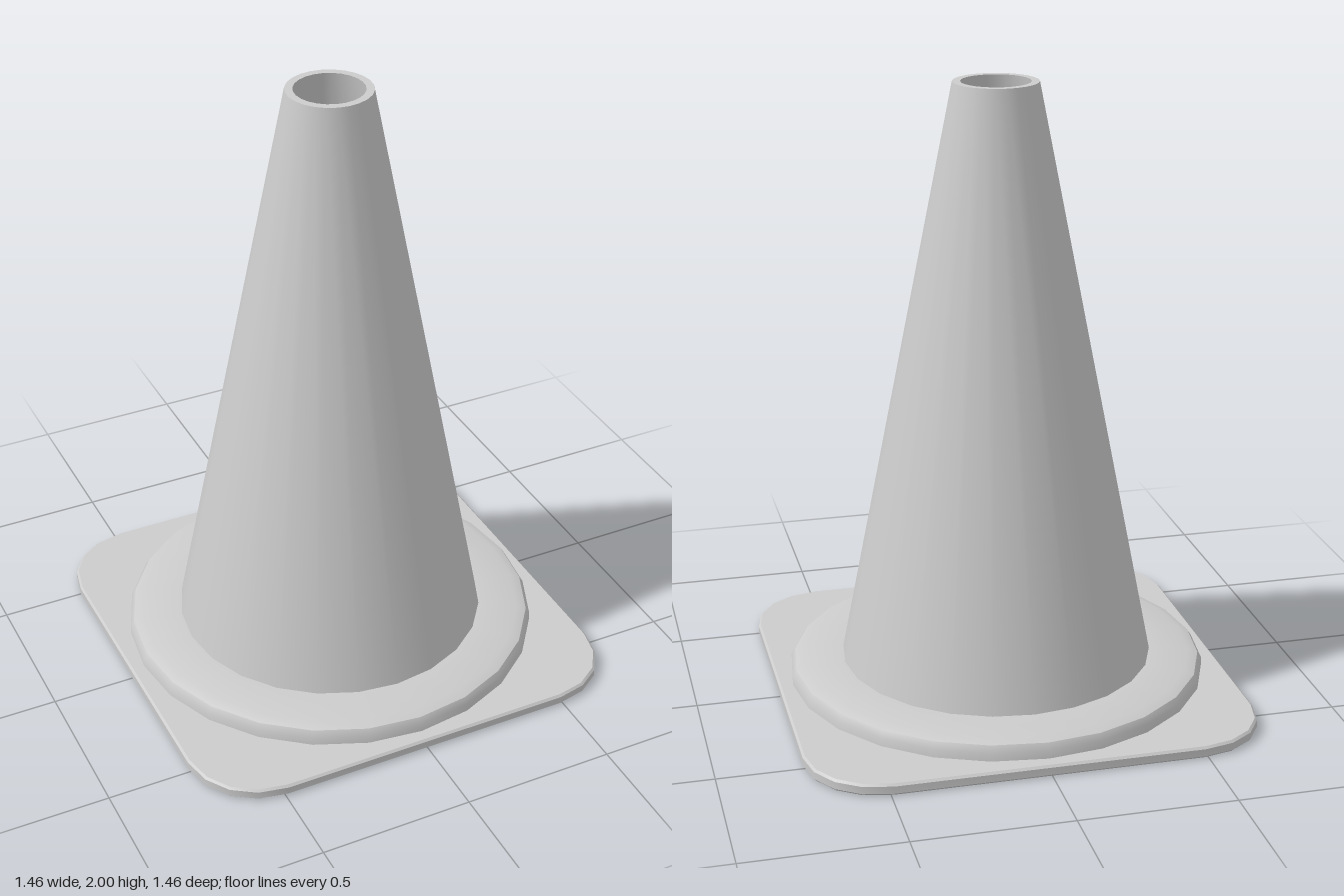
import * as THREE from 'three';
import { toCreasedNormals } from 'three/addons/utils/BufferGeometryUtils.js';

const SIDES = 24;

export function createModel() {
  const group = new THREE.Group();
  group.name = 'trafficCone';
  const material = new THREE.MeshStandardMaterial({ color: 0xcccccc });

  const add = (name, geometry) => {
    const mesh = new THREE.Mesh(toCreasedNormals(geometry, 0.65), material);
    mesh.name = name;
    group.add(mesh);
  };

  // Hollow cone and raised collar: up the outside, down the inside
  const profile = [
    [0.685, 0.01], [0.685, 0.065], [0.672, 0.086], [0.64, 0.098], [0.51, 0.1],
    [0.135, 2], [0.11, 2],
    [0.49, 0.078], [0.63, 0.076], [0.652, 0.062], [0.66, 0.01], [0.685, 0.01],
  ].map(([r, y]) => new THREE.Vector2(r, y));
  add('coneShell', new THREE.LatheGeometry(profile, SIDES));

  // Square foot with faceted round corners and a round opening under the collar
  const corner = [[0.73, 0.49], [0.71, 0.585], [0.66, 0.66], [0.585, 0.71], [0.49, 0.73]];
  const outline = [];
  for (let q = 0; q < 4; q++) {
    for (const [x, y] of corner) {
      outline.push(new THREE.Vector2(x, y).rotateAround(new THREE.Vector2(), q * Math.PI / 2));
    }
  }
  const shape = new THREE.Shape(outline);
  const opening = [];
  for (let i = 0; i < SIDES; i++) {
    const a = -i / SIDES * Math.PI * 2;
    opening.push(new THREE.Vector2(0.67 * Math.cos(a), 0.67 * Math.sin(a)));
  }
  shape.holes.push(new THREE.Path(opening));

  const bevel = 0.007;
  const foot = new THREE.ExtrudeGeometry(shape, {
    depth: 0.038 - 2 * bevel,
    bevelEnabled: true, bevelThickness: bevel, bevelSize: bevel, bevelOffset: -bevel, bevelSegments: 1,
  });
  foot.rotateX(-Math.PI / 2);
  foot.translate(0, bevel, 0);
  add('footPlate', foot);

  return group;
}
